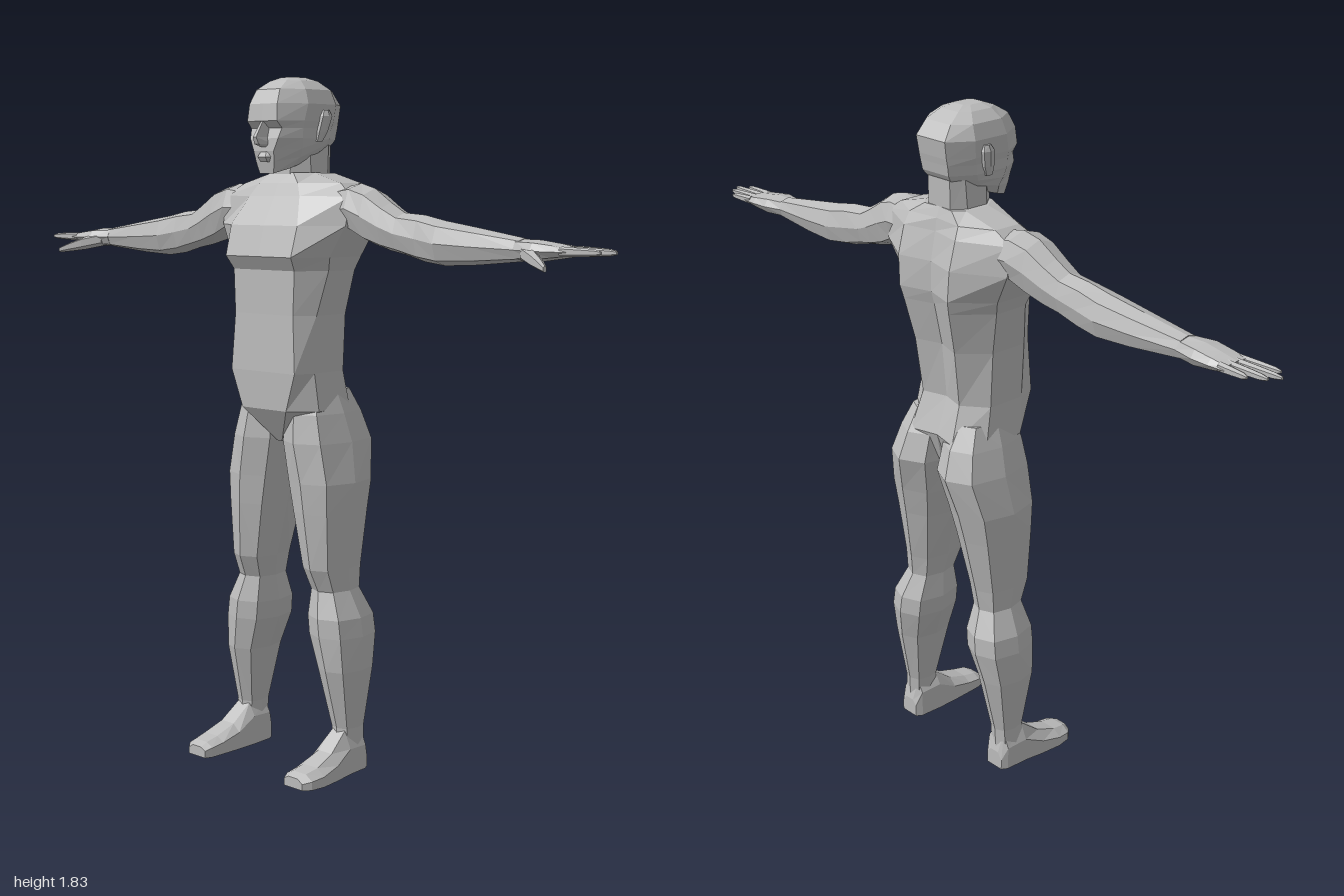
import * as THREE from 'three';

const skin = new THREE.MeshStandardMaterial({ color: 0xbcbcbc, flatShading: true });
skin.name = 'plain grey';

// Skin a stack of equal-length rings, cap both ends, and turn the faces outward.
function loft(name, rings) {
  const n = rings[0].length;
  const mean = (r) => [0, 1, 2].map((k) => r.reduce((s, p) => s + p[k], 0) / n);
  const tris = [];
  for (let i = 0; i < rings.length - 1; i++) {
    for (let j = 0; j < n; j++) {
      const k = (j + 1) % n;
      const a = rings[i][j], b = rings[i][k], c = rings[i + 1][k], d = rings[i + 1][j];
      tris.push([a, b, c], [a, c, d]);
    }
  }
  const first = rings[0], last = rings[rings.length - 1];
  const c0 = mean(first), c1 = mean(last);
  for (let j = 0; j < n; j++) {
    const k = (j + 1) % n;
    tris.push([c0, first[k], first[j]], [c1, last[j], last[k]]);
  }
  let volume = 0;
  for (const [a, b, c] of tris) {
    const u = a.map((v, i) => v - c0[i]), v = b.map((w, i) => w - c0[i]), w = c.map((q, i) => q - c0[i]);
    volume += u[0] * (v[1] * w[2] - v[2] * w[1]) + u[1] * (v[2] * w[0] - v[0] * w[2]) + u[2] * (v[0] * w[1] - v[1] * w[0]);
  }
  if (volume < 0) tris.forEach((t) => t.reverse());
  const g = new THREE.BufferGeometry();
  g.setAttribute('position', new THREE.Float32BufferAttribute(tris.flat(2), 3));
  g.computeVertexNormals();
  const m = new THREE.Mesh(g, skin);
  m.name = name;
  return m;
}

// Slightly squared oval between two pairs of limits.
function oval(a0, a1, b0, b1, n = 8) {
  const soft = (v) => Math.sign(v) * Math.abs(v) ** 0.8;
  return Array.from({ length: n }, (_, i) => {
    const t = (i / n) * Math.PI * 2;
    return [(a0 + a1) / 2 + soft(Math.cos(t)) * (a1 - a0) / 2, (b0 + b1) / 2 + soft(Math.sin(t)) * (b1 - b0) / 2];
  });
}

// Rows across the body: [x, yTop, yBottom, zFront, zBack]
const alongX = (name, s, rows, n) => loft(name, rows.map(([x, yt, yb, zf, zb]) =>
  oval(yb, yt, zb, zf, n).map(([y, z]) => [s * x, y, z])));

// Rows up the body: [y, xInner, xOuter, zFront, zBack]
const alongY = (name, s, rows, n) => loft(name, rows.map(([y, xi, xo, zf, zb]) =>
  oval(xi, xo, zb, zf, n).map(([x, z]) => [s * x, y, z])));

// Symmetric rows: [y, zFront, frontHalfWidth, halfWidth, zSideFront, zSideBack, backHalfWidth, zBack, zSpine, rise]
// rise lifts the ring toward its back.
const symmetric = (name, rows) => loft(name, rows.map(([y, zf, fw, w, sf, sb, bw, zb, sp, rise = 0]) => {
  const half = [[fw, zf], [w, sf], [w, sb], [bw, zb]];
  const ring = [[0, zf], ...half, [0, sp], ...half.map(([x, z]) => [-x, z]).reverse()];
  return ring.map(([x, z]) => [x, y + rise * (zf - z), z]);
}));

export function createModel() {
  const body = new THREE.Group();
  body.name = 'human figure';

  body.add(symmetric('torso', [
    [0.88, 0.04, 0.008, 0.02, 0.0, -0.06, 0.01, -0.1, -0.09],
    [0.97, 0.1, 0.08, 0.142, 0.04, -0.08, 0.08, -0.145, -0.125],
    [1.07, 0.105, 0.115, 0.135, 0.05, -0.06, 0.07, -0.11, -0.09],
    [1.22, 0.1, 0.105, 0.142, 0.05, -0.06, 0.075, -0.13, -0.105],
    [1.335, 0.1, 0.11, 0.165, 0.03, -0.07, 0.085, -0.158, -0.13],
    [1.37, 0.122, 0.118, 0.178, 0.04, -0.08, 0.09, -0.167, -0.14],
    [1.45, 0.1, 0.12, 0.222, 0.03, -0.09, 0.095, -0.165, -0.14],
    [1.525, 0.06, 0.09, 0.225, 0.015, -0.08, 0.095, -0.145, -0.125],
    [1.558, 0.045, 0.07, 0.175, -0.005, -0.085, 0.09, -0.13, -0.12],
    [1.585, 0.03, 0.04, 0.075, -0.015, -0.09, 0.05, -0.115, -0.11],
  ]));

  body.add(symmetric('neck', [
    [1.53, 0.05, 0.035, 0.085, -0.01, -0.08, 0.05, -0.12, -0.12],
    [1.58, 0.032, 0.03, 0.065, -0.01, -0.075, 0.04, -0.11, -0.11],
    [1.66, 0.028, 0.03, 0.062, -0.01, -0.08, 0.04, -0.112, -0.112],
  ]));

  // Head: chin, mouth, cheeks, eyes, brow, crown
  body.add(symmetric('head', [
    [1.583, 0.088, 0.025, 0.045, 0.045, -0.04, 0.035, -0.09, -0.09, 0.32],
    [1.612, 0.094, 0.032, 0.066, 0.03, -0.04, 0.04, -0.107, -0.107, 0.2],
    [1.64, 0.099, 0.036, 0.076, 0.035, -0.05, 0.045, -0.115, -0.115, 0.1],
    [1.672, 0.097, 0.05, 0.083, 0.04, -0.06, 0.048, -0.122, -0.122],
    [1.698, 0.088, 0.055, 0.085, 0.04, -0.065, 0.05, -0.127, -0.127],
    [1.716, 0.105, 0.053, 0.089, 0.04, -0.07, 0.05, -0.131, -0.131],
    [1.76, 0.1, 0.05, 0.093, 0.03, -0.075, 0.052, -0.138, -0.138],
    [1.797, 0.082, 0.042, 0.079, 0.025, -0.07, 0.045, -0.112, -0.112],
    [1.82, 0.045, 0.03, 0.052, 0.015, -0.05, 0.032, -0.075, -0.075],
    [1.83, 0.018, 0.015, 0.026, 0.005, -0.03, 0.016, -0.045, -0.045],
  ]));

  // Nose bridge widening to the tip
  body.add(loft('nose', [[1.715, 0.009, 0.106], [1.675, 0.014, 0.132], [1.657, 0.019, 0.125], [1.65, 0.014, 0.1]]
    .map(([y, w, z]) => [[-w, y, 0.08], [-w * 0.4, y, z], [w * 0.4, y, z], [w, y, 0.08]])));
  body.add(symmetric('lips', [
    [1.612, 0.098, 0.012, 0.02, 0.09, 0.08, 0.01, 0.08, 0.08],
    [1.625, 0.107, 0.014, 0.027, 0.092, 0.08, 0.01, 0.08, 0.08],
    [1.638, 0.1, 0.01, 0.02, 0.092, 0.08, 0.01, 0.08, 0.08],
  ]));

  for (const s of [1, -1]) {
    const side = new THREE.Group();
    side.name = s > 0 ? 'left side' : 'right side';

    side.add(alongY('ear', s, [
      [1.665, 0.075, 0.089, -0.01, -0.032],
      [1.69, 0.075, 0.098, -0.01, -0.045],
      [1.73, 0.08, 0.106, -0.016, -0.055],
      [1.745, 0.08, 0.1, -0.025, -0.048],
    ], 6));

    // Shoulder, upper arm, elbow, forearm, palm
    side.add(alongX('arm', s, [
      [0.15, 1.545, 1.44, 0.03, -0.1],
      [0.22, 1.558, 1.43, 0.035, -0.1],
      [0.27, 1.545, 1.405, 0.033, -0.09],
      [0.325, 1.51, 1.39, 0.028, -0.082],
      [0.37, 1.485, 1.382, 0.022, -0.075],
      [0.435, 1.48, 1.365, 0.02, -0.077],
      [0.5, 1.467, 1.357, 0.027, -0.082],
      [0.6, 1.452, 1.362, 0.02, -0.074],
      [0.74, 1.43, 1.375, 0.01, -0.058],
    ]));
    side.add(alongX('palm', s, [
      [0.73, 1.428, 1.377, 0.012, -0.058],
      [0.79, 1.427, 1.376, 0.03, -0.072],
      [0.84, 1.42, 1.383, 0.025, -0.075],
      [0.885, 1.412, 1.39, 0.02, -0.073],
    ]));

    // Fingers: [tip x, root z, tip z]
    [[0.975, 0.008, 0.013], [1.0, -0.015, -0.014], [0.982, -0.038, -0.042], [0.945, -0.06, -0.067]].forEach(([tip, z0, z1]) => {
      const row = (t, r) => {
        const z = z0 + (z1 - z0) * t;
        return [0.865 + (tip - 0.865) * t, 1.402 + r, 1.402 - r, z + r, z - r];
      };
      side.add(alongX('finger', s, [row(0, 0.012), row(0.5, 0.01), row(0.85, 0.008), row(1, 0.004)], 6));
    });
    side.add(alongX('thumb', s, [
      [0.755, 1.415, 1.378, 0.018, -0.02],
      [0.805, 1.403, 1.366, 0.052, 0.012],
      [0.845, 1.385, 1.36, 0.073, 0.045],
      [0.868, 1.372, 1.357, 0.084, 0.068],
    ], 6));

    // Hip, thigh, knee, calf, ankle
    side.add(alongY('leg', s, [
      [1.02, 0.03, 0.135, 0.05, -0.12],
      [0.96, 0.008, 0.158, 0.075, -0.155],
      [0.885, 0.003, 0.18, 0.085, -0.18],
      [0.78, 0.022, 0.202, 0.08, -0.152],
      [0.7, 0.04, 0.198, 0.075, -0.135],
      [0.55, 0.072, 0.19, 0.062, -0.108],
      [0.49, 0.084, 0.188, 0.036, -0.1],
      [0.42, 0.077, 0.222, 0.053, -0.13],
      [0.37, 0.082, 0.229, 0.053, -0.132],
      [0.28, 0.113, 0.23, 0.045, -0.113],
      [0.12, 0.143, 0.215, 0.008, -0.08],
      [0.06, 0.145, 0.218, 0.01, -0.078],
    ]));

    // Foot from heel to toes: [z, height, xInner, xOuter]
    side.add(loft('foot', [
      [-0.082, 0.05, 0.152, 0.208],
      [-0.065, 0.11, 0.142, 0.218],
      [0.0, 0.115, 0.138, 0.222],
      [0.06, 0.068, 0.138, 0.232],
      [0.12, 0.046, 0.14, 0.238],
      [0.16, 0.038, 0.142, 0.232],
      [0.18, 0.028, 0.15, 0.215],
    ].map(([z, h, xi, xo]) => {
      const c = (xo - xi) * 0.25;
      return [[xi, 0], [xo, 0], [xo, h * 0.6], [xo - c, h], [xi + c, h], [xi, h * 0.7]].map(([x, y]) => [s * x, y, z]);
    })));

    body.add(side);
  }
  return body;
}
